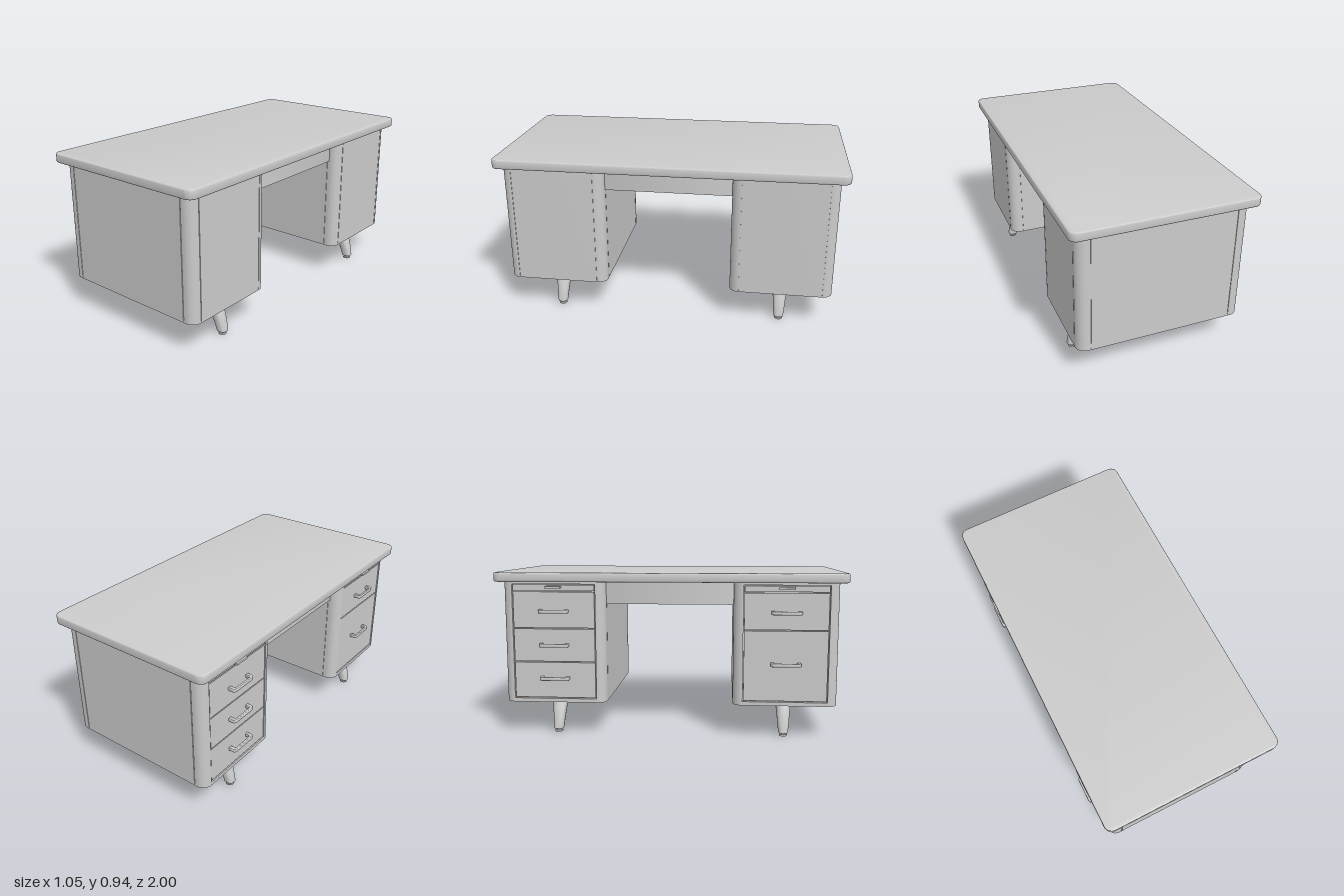
import * as THREE from 'three';
import { toCreasedNormals } from 'three/addons/utils/BufferGeometryUtils.js';

const BASE = 0.19, TOP = 0.89;      // cabinet underside and desktop underside
const HX = 0.48, HZ = 0.295, R = 0.055; // cabinet half sizes and corner radius

export function createModel() {
  const desk = new THREE.Group();
  desk.name = 'desk';
  const mat = new THREE.MeshStandardMaterial({ color: 0xcccccc });

  const add = (parent, name, geo, x = 0, y = 0, z = 0) => {
    const m = new THREE.Mesh(geo, mat);
    m.name = name;
    m.position.set(x, y, z);
    parent.add(m);
    return m;
  };
  const box = (parent, name, x0, x1, y0, y1, z0, z1) =>
    add(parent, name, new THREE.BoxGeometry(x1 - x0, y1 - y0, z1 - z0),
      (x0 + x1) / 2, (y0 + y1) / 2, (z0 + z1) / 2);

  // Floor-plan outline extruded upwards from y = 0
  const slab = (shape, height, bevel = 0) => {
    const g = new THREE.ExtrudeGeometry(shape, {
      depth: height - 2 * bevel, curveSegments: 10, bevelEnabled: bevel > 0,
      bevelSize: bevel, bevelThickness: bevel, bevelOffset: -bevel, bevelSegments: 3,
    });
    g.rotateX(-Math.PI / 2).translate(0, bevel, 0);
    return toCreasedNormals(g, 0.6);
  };
  const roundRect = (hx, hz, r, Kind = THREE.Shape) => {
    const s = new Kind();
    s.moveTo(-hx + r, -hz);
    s.absarc(hx - r, -hz + r, r, -Math.PI / 2, 0);
    s.absarc(hx - r, hz - r, r, 0, Math.PI / 2);
    s.absarc(-hx + r, hz - r, r, Math.PI / 2, Math.PI);
    s.absarc(-hx + r, -hz + r, r, Math.PI, Math.PI * 1.5);
    s.closePath();
    return s;
  };

  // Cabinet outline: round corner posts, fine seams, recess for the drawers
  const cabinetOutline = () => {
    const s = new THREE.Shape(), g = 0.004, sx = 0.41, sz = HZ - R;
    const line = (...pts) => pts.forEach(([x, y]) => s.lineTo(x, y));
    s.moveTo(-sx, -HZ);
    line([-sx, -HZ + g], [-sx + g, -HZ + g], [-sx + g, -HZ]);
    line([sx - g, -HZ], [sx - g, -HZ + g], [sx, -HZ + g], [sx, -HZ]);
    s.absarc(HX - R, -HZ + R, R, -Math.PI / 2, 0);
    line([HX - g, -sz], [HX - g, -sz + g], [HX, -sz + g]);
    line([HX, sz - g], [HX - g, sz - g], [HX - g, sz], [HX, sz]);
    s.absarc(HX - R, HZ - R, R, 0, Math.PI / 2);
    line([sx, HZ], [sx, HZ - g], [sx - g, HZ - g], [sx - g, HZ]);
    line([-sx + g, HZ], [-sx + g, HZ - g], [-sx, HZ - g], [-sx, HZ]);
    s.absarc(-HX + R, HZ - R, R, Math.PI / 2, Math.PI);
    line([-HX + 0.025, sz], [-HX + 0.025, -sz]);
    s.absarc(-HX + R, -HZ + R, R, Math.PI, Math.PI * 1.5);
    s.closePath();
    return s;
  };
  const bodyGeo = slab(cabinetOutline(), TOP - BASE - 0.01);
  const rim = roundRect(HX, HZ, R);
  rim.holes.push(roundRect(HX - 0.035, HZ - 0.035, 0.015, THREE.Path));
  const rimGeo = slab(rim, 0.0101);

  // Flat bow pull, opening towards the drawer
  const bow = new THREE.Shape();
  bow.moveTo(0.005, -0.085);
  bow.lineTo(-0.022, -0.085);
  bow.quadraticCurveTo(-0.04, -0.083, -0.04, -0.062);
  bow.lineTo(-0.04, 0.062);
  bow.quadraticCurveTo(-0.04, 0.083, -0.022, 0.085);
  bow.lineTo(0.005, 0.085);
  bow.lineTo(0.005, 0.064);
  bow.lineTo(-0.016, 0.064);
  bow.quadraticCurveTo(-0.026, 0.063, -0.026, 0.052);
  bow.lineTo(-0.026, -0.052);
  bow.quadraticCurveTo(-0.026, -0.063, -0.016, -0.064);
  bow.lineTo(0.005, -0.064);
  bow.closePath();
  const handleGeo = slab(bow, 0.02, 0.003);

  // Curved tapering leg: each level of a cylinder is shifted and scaled
  const legGeo = () => {
    const g = new THREE.CylinderGeometry(1, 1, 1, 28, 10);
    const p = g.attributes.position;
    const soft = (c) => Math.sign(c) * Math.abs(c) ** 0.75;
    for (let i = 0; i < p.count; i++) {
      const t = p.getY(i) + 0.5;
      const cx = 0.415 - 0.035 * t - 0.045 * t * t;
      const hx = 0.03 + 0.006 * t + 0.016 * t * t;
      p.setXYZ(i, cx + hx * soft(p.getX(i)), 0.02 + 0.185 * t,
        (0.028 + 0.018 * t) * soft(p.getZ(i)));
    }
    return toCreasedNormals(g, 0.7);
  };
  const leg = legGeo();
  const neckGeo = new THREE.CylinderGeometry(0.014, 0.014, 0.014, 20);
  const padGeo = new THREE.CylinderGeometry(0.023, 0.023, 0.01, 24);

  const pedestal = (name, z, drawers) => {
    const g = new THREE.Group();
    g.name = name;
    g.position.z = z;
    desk.add(g);
    add(g, 'cabinetBody', bodyGeo, 0, BASE + 0.01, 0);
    add(g, 'bottomRim', rimGeo, 0, BASE, 0);

    // Rails framing the drawer opening
    const w = HZ - R, face = -HX + 0.003;
    box(g, 'bottomRail', -HX, -HX + 0.03, BASE, 0.212, -w, w);
    box(g, 'topRail', -HX, -HX + 0.03, 0.876, TOP, -w, w);

    // Pull-out writing board with its small lip
    box(g, 'pullOutBoard', face, -HX + 0.03, 0.838, 0.872, -w + 0.005, w - 0.005);
    box(g, 'pullOutLip', -0.505, face, 0.853, 0.864, -0.045, 0.045);

    drawers.forEach(([y0, y1, grip]) => {
      box(g, 'drawerFront', face, -HX + 0.03, y0, y1, -w + 0.005, w - 0.005);
      add(g, 'drawerHandle', handleGeo, -HX, grip - 0.01, 0);
    });

    // Legs at both ends of the cabinet
    for (const turn of [0, Math.PI]) {
      const l = new THREE.Group();
      l.name = turn ? 'drawerSideLeg' : 'farSideLeg';
      l.rotation.y = turn;
      g.add(l);
      add(l, 'curvedLeg', leg);
      add(l, 'footNeck', neckGeo, 0.415, 0.015, 0);
      add(l, 'footPad', padGeo, 0.415, 0.005, 0);
    }
  };
  pedestal('twoDrawerPedestal', 0.66, [[0.625, 0.832, 0.722], [0.218, 0.619, 0.43]]);
  pedestal('threeDrawerPedestal', -0.66,
    [[0.625, 0.832, 0.722], [0.43, 0.619, 0.527], [0.218, 0.424, 0.333]]);

  // Shallow centre compartment with a recessed underside
  const frame = roundRect(0.42, 0.37, 0.001);
  frame.holes.push(roundRect(0.4, 0.35, 0.001, THREE.Path));
  add(desk, 'centreApron', slab(frame, TOP - 0.76), 0, 0.76, 0);
  box(desk, 'centrePanel', -0.405, 0.405, 0.77, 0.785, -0.355, 0.355);

  // Desktop
  add(desk, 'desktop', slab(roundRect(0.525, 1, 0.045), 0.053, 0.008), 0, TOP, 0);
  return desk;
}
